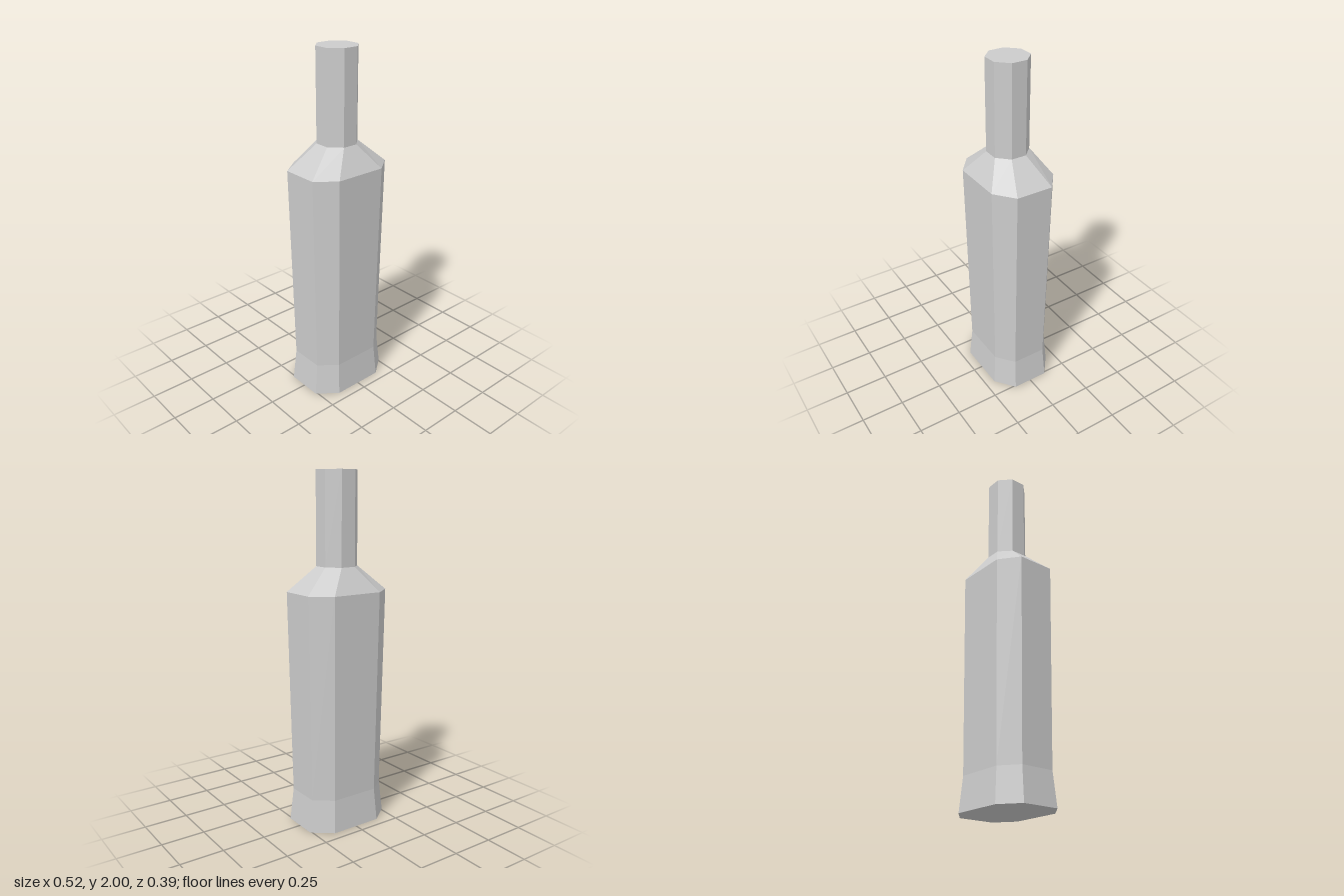
import * as THREE from 'three';

// Eight-sided ring: half width, half depth, and where the flat faces end on each
function ring([y, w, d, fw, fd]) {
  return [[w, fd], [fw, d], [-fw, d], [-w, fd], [-w, -fd], [-fw, -d], [fw, -d], [w, -fd]]
    .map(([x, z]) => [x, y, z]);
}

// Skins a stack of rings from bottom to top, with optional flat caps
function loft(name, sections, material, { bottom = false, top = false } = {}) {
  const rings = sections.map(ring);
  const pos = [];
  const tri = (...pts) => pts.forEach((p) => pos.push(...p));
  for (let s = 0; s < rings.length - 1; s++) {
    const lo = rings[s], up = rings[s + 1];
    for (let i = 0; i < 8; i++) {
      const j = (i + 1) % 8;
      tri(lo[i], up[i], lo[j]);
      tri(lo[j], up[i], up[j]);
    }
  }
  const first = rings[0], last = rings[rings.length - 1];
  for (let i = 1; i < 7; i++) {
    if (bottom) tri(first[0], first[i], first[i + 1]);
    if (top) tri(last[0], last[i + 1], last[i]);
  }
  const geometry = new THREE.BufferGeometry();
  geometry.setAttribute('position', new THREE.Float32BufferAttribute(pos, 3));
  geometry.computeVertexNormals();
  const mesh = new THREE.Mesh(geometry, material);
  mesh.name = name;
  return mesh;
}

export function createModel() {
  const group = new THREE.Group();
  group.name = 'bottle';
  const glass = new THREE.MeshStandardMaterial({ color: 0xcccccc, flatShading: true });

  // y, half width, half depth, front flat half width, side flat half depth
  const foot = [0, 0.26, 0.194, 0.15, 0.107];
  const waist = [0.19, 0.24, 0.179, 0.139, 0.099];
  const shoulder = [1.35, 0.26, 0.194, 0.15, 0.107];
  const neckBase = [1.487, 0.107, 0.107, 0.044, 0.044];
  const neckTop = [2, 0.107, 0.107, 0.044, 0.044];

  group.add(
    loft('flaredBase', [foot, waist], glass, { bottom: true }),
    loft('body', [waist, shoulder], glass),
    loft('shoulder', [shoulder, neckBase], glass),
    loft('neck', [neckBase, neckTop], glass, { top: true }),
  );
  return group;
}
